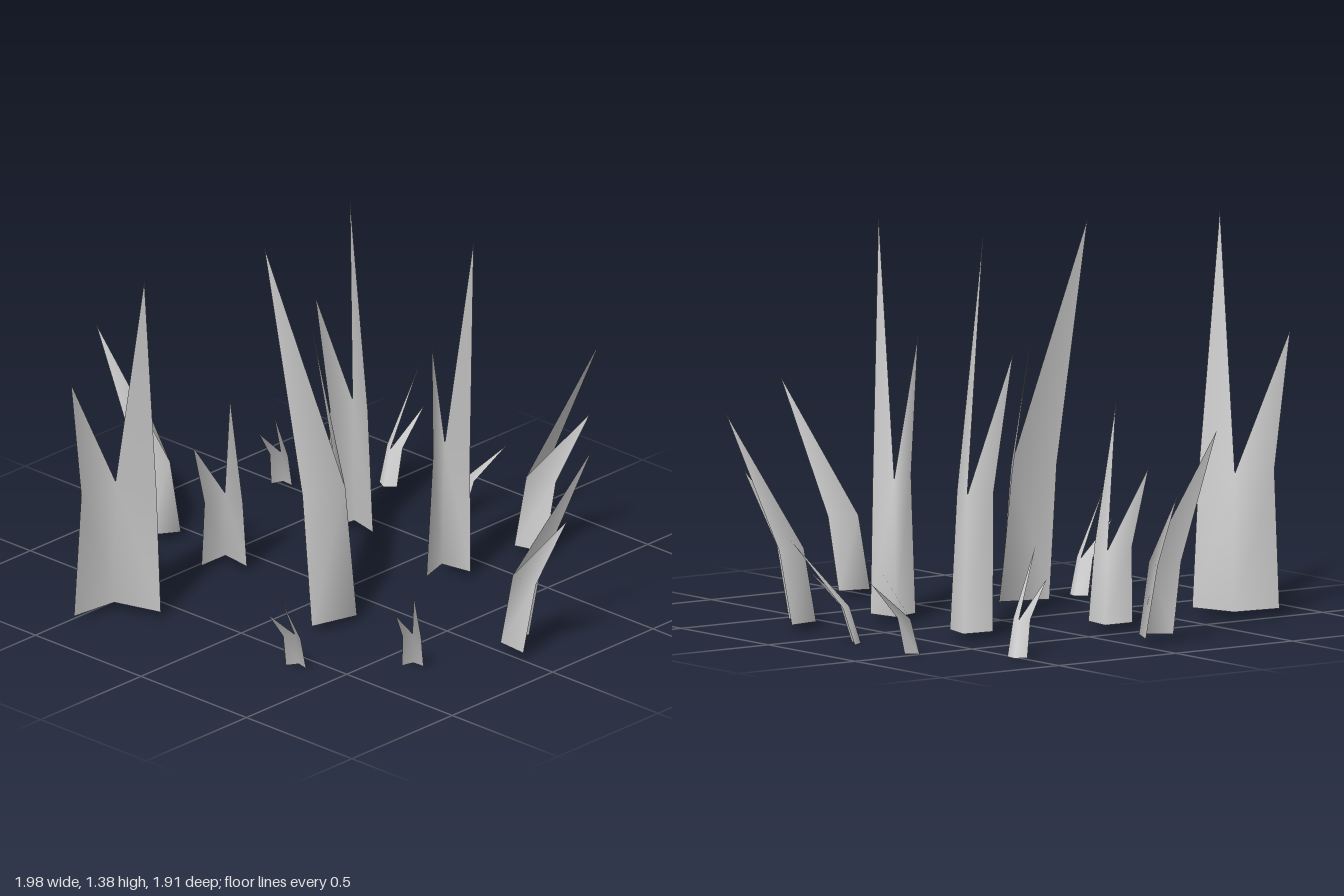
import * as THREE from 'three';

const material = new THREE.MeshStandardMaterial({ color: 0xcccccc, side: THREE.DoubleSide });

// Tuft kinds. Local +x is the way a tuft leans, z runs across the fold.
// base/mid/tall/short are heights; open and half give the V-shaped footprint;
// lean and narrow shift the middle row; tips are [x, z] offsets from the fold.
const wide = { open: 0.1, half: 0.15, lean: 0.045, narrow: 0.02, tallTip: [0.321, -0.068], shortTip: [0.256, 0.178] };
const slim = { open: 0.089, half: 0.078, lean: 0.042, narrow: 0.012, tallTip: [0.313, -0.03], shortTip: [0.243, 0.1] };
const tiny = { open: 0.027, half: 0.037, lean: 0.04, narrow: 0.005, tallTip: [0.243, -0.021], shortTip: [0.18, 0.046] };
const high = { base: 0.025, mid: 0.5, tall: 1.375, short: 0.97 };
const low = { base: 0.025, mid: 0.28, tall: 0.755, short: 0.54 };
const ground = { base: 0, mid: 0.128, tall: 0.36, short: 0.255 };

const kinds = {
  broadBlade: { ...wide, ...high },
  tallBlade: { ...slim, ...high },
  mediumBlade: { ...slim, ...low },
  smallBlade: { ...tiny, ...ground },
};

// Folded strip of two panels, each ending in a pointed tip
function bladeGeometry(k) {
  const points = [];
  for (const side of [-1, 0, 1]) {
    points.push(Math.abs(side) * k.open, k.base, side * k.half);
  }
  for (const side of [-1, 0, 1]) {
    points.push(Math.abs(side) * k.open + k.lean, k.mid, side * (k.half - k.narrow));
  }
  points.push(k.tallTip[0], k.tall, k.tallTip[1]);
  points.push(k.shortTip[0], k.short, k.shortTip[1]);

  const index = [];
  for (let i = 0; i < 2; i++) {
    index.push(i, i + 1, i + 4, i, i + 4, i + 3); // lower panel
    index.push(i + 3, i + 4, i + 6); // pointed tip
  }
  const geometry = new THREE.BufferGeometry();
  geometry.setAttribute('position', new THREE.Float32BufferAttribute(points, 3));
  geometry.setIndex(index);
  geometry.computeVertexNormals();
  return geometry;
}

// Placement of each tuft: x and z of its fold, leaning direction in degrees
const layout = {
  broadBlade: [[-0.455, 0.655, 40], [0.225, 0.16, 162.5]],
  tallBlade: [[-0.33, -0.41, 54.6], [0.139, -0.353, 31.5]],
  mediumBlade: [[0.738, -0.016, -36.3], [-0.695, 0.07, 164], [-0.449, 0.107, 49], [0.214, -0.636, -57]],
  smallBlade: [
    [0.321, 0.551, 67], [0.6, 0.273, 51], [-0.16, -0.722, -61],
    [-0.77, -0.519, 59], [-0.487, -0.722, 261],
  ],
};

export function createModel() {
  const group = new THREE.Group();
  group.name = 'grassTufts';
  for (const [kind, places] of Object.entries(layout)) {
    const geometry = bladeGeometry(kinds[kind]);
    places.forEach(([x, z, degrees], i) => {
      const blade = new THREE.Mesh(geometry, material);
      blade.name = `${kind}${i + 1}`;
      blade.position.set(x, 0, z);
      blade.rotation.y = -THREE.MathUtils.degToRad(degrees);
      group.add(blade);
    });
  }
  return group;
}
